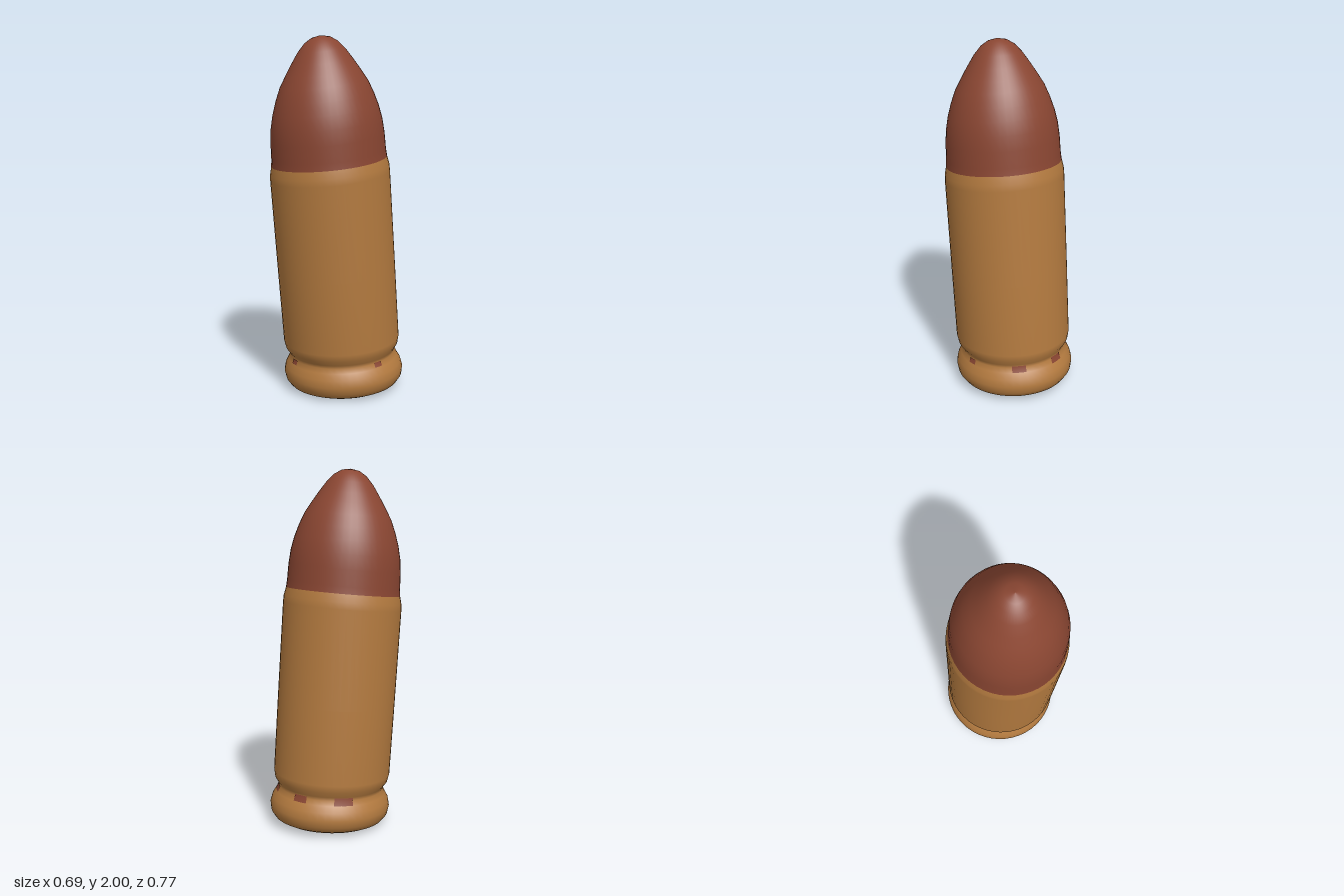
import * as THREE from 'three';

const brass = new THREE.MeshStandardMaterial({ color: 0xb37a3f });
brass.name = 'brass';
const copper = new THREE.MeshStandardMaterial({ color: 0x8a4632 });
copper.name = 'copper';

// Lean a turned part forward: the axis drifts to +z and each ring dips at the front.
function lean(geometry) {
  for (const name of ['position', 'normal']) {
    const a = geometry.attributes[name];
    for (let i = 0; i < a.count; i++) {
      const y = a.getY(i), z = a.getZ(i);
      if (name === 'position') {
        const dip = 0.042 + 0.055 * Math.min(y, 1.4);
        a.setXYZ(i, a.getX(i), y - dip * z, z + 0.083 * y - 0.043);
      } else {
        const v = new THREE.Vector3(a.getX(i), y - 0.083 * z, z + 0.083 * y).normalize();
        a.setXYZ(i, v.x, v.y, v.z);
      }
    }
  }
  return geometry;
}

function turned(name, profile, material, segments = 48, start = 0, length = Math.PI * 2) {
  const points = profile.map(([r, y]) => new THREE.Vector2(r, y));
  const mesh = new THREE.Mesh(lean(new THREE.LatheGeometry(points, segments, start, length)), material);
  mesh.name = name;
  return mesh;
}

export function createModel() {
  const model = new THREE.Group();
  model.name = 'cartridge';

  // Flat underside, rounded rim, groove and straight case with a bevelled mouth
  model.add(turned('base', [[0, 0.013], [0.15, 0.013], [0.28, 0.013]], brass));
  model.add(turned('case', [
    [0.28, 0.013], [0.315, 0.03], [0.337, 0.06], [0.344, 0.1], [0.335, 0.14],
    [0.315, 0.175], [0.3, 0.2], [0.305, 0.22], [0.325, 0.25], [0.333, 0.29],
    [0.334, 0.7], [0.334, 1.24], [0.332, 1.275], [0.322, 1.32],
  ], brass));

  // Rounded nose
  model.add(turned('nose', [
    [0.322, 1.32], [0.318, 1.36], [0.315, 1.45], [0.307, 1.53], [0.292, 1.6], [0.27, 1.67],
    [0.242, 1.74], [0.207, 1.8], [0.17, 1.86], [0.13, 1.92], [0.09, 1.965],
    [0.05, 1.99], [0, 2.0],
  ], copper));

  // Small worn flecks around the groove: angle and width
  const flecks = [[-0.13, 0.16], [-2.05, 0.34], [-2.86, 0.26], [1.63, 0.16], [2.61, 0.26]];
  for (const [angle, width] of flecks) {
    const h = width * 0.05;
    model.add(turned('fleck', [
      [0.315, 0.19 - h], [0.308, 0.197], [0.306, 0.2 + h],
    ], copper, 5, angle - width / 2, width));
  }
  return model;
}
